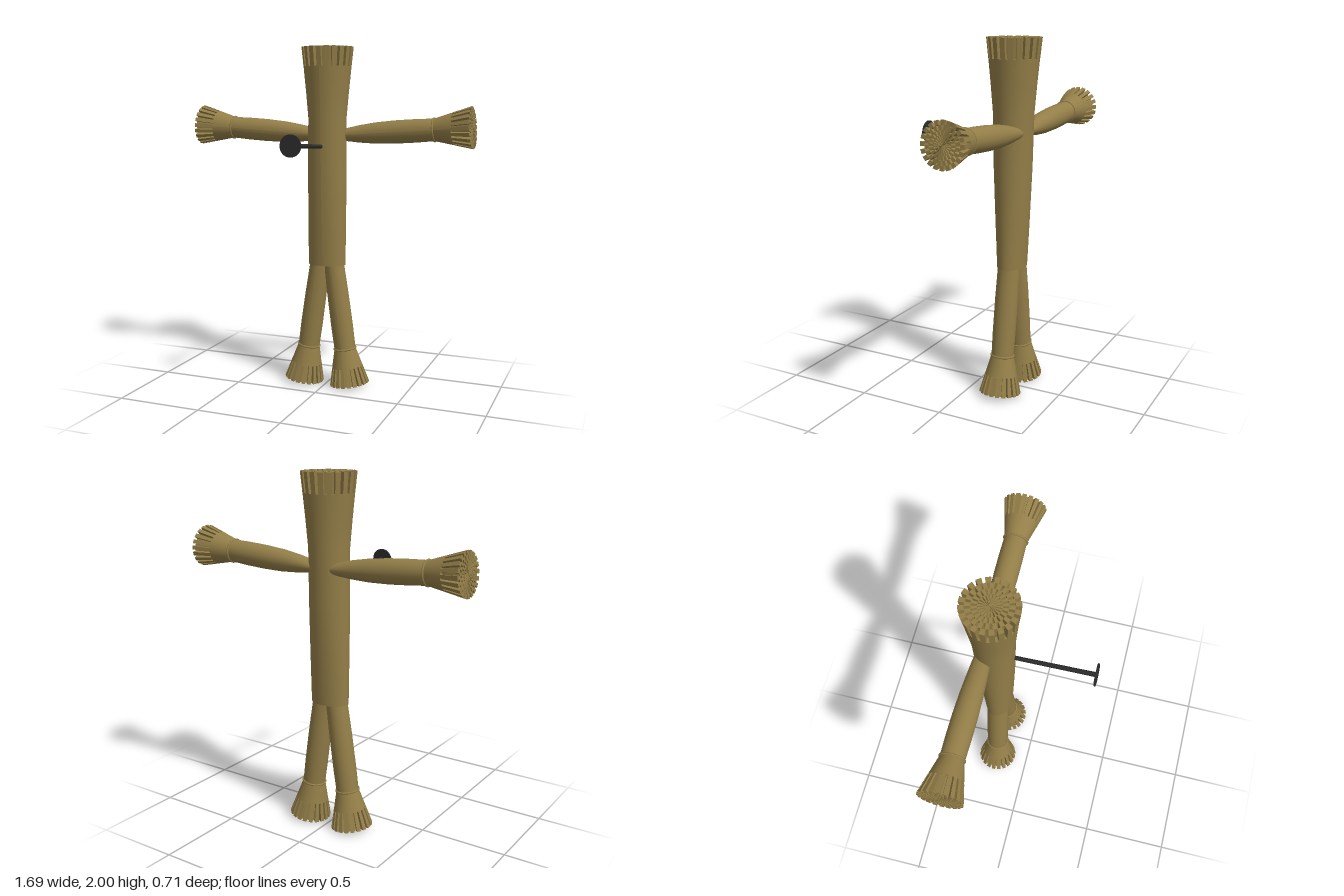
import * as THREE from 'three';
import { mergeGeometries } from 'three/addons/utils/BufferGeometryUtils.js';

const straw = new THREE.MeshStandardMaterial({ color: 0x937e48 });
const iron = new THREE.MeshStandardMaterial({ color: 0x2b2b2b });

function add(parent, name, geometry, material) {
  const mesh = new THREE.Mesh(geometry, material);
  mesh.name = name;
  parent.add(mesh);
  return mesh;
}

// Closed tube along +y through stations [y, radiusX, radiusZ]
function loft(stations) {
  const rows = stations.length - 1;
  const g = new THREE.CylinderGeometry(1, 1, 1, 36, rows);
  const p = g.attributes.position;
  for (let i = 0; i < p.count; i++) {
    const [y, rx, rz] = stations[Math.round((p.getY(i) + 0.5) * rows)];
    p.setXYZ(i, p.getX(i) * rx, y, p.getZ(i) * rz);
  }
  g.computeVertexNormals();
  return g;
}

// Staggered rings of cut straw ends flaring from radius r0 at y0 to r1 at y1
function tuft(y0, y1, r0, r1) {
  const rings = 5, count = 20, step = (Math.PI * 2) / count;
  const parts = [];
  for (let k = 0; k < rings; k++) {
    for (let j = 0; j < count; j++) {
      const g = new THREE.BoxGeometry(1, 1, 1);
      const p = g.attributes.position;
      for (let i = 0; i < p.count; i++) {
        const angle = (j + (k % 2) / 2 + p.getX(i) * 0.62) * step;
        const t = p.getY(i) + 0.5;
        const r = ((k + p.getZ(i) + 0.5) / rings) * (r0 + (r1 - r0) * t);
        p.setXYZ(i, Math.sin(angle) * r, y0 + (y1 - y0) * t, Math.cos(angle) * r);
      }
      g.computeVertexNormals();
      parts.push(g);
    }
  }
  return mergeGeometries(parts);
}

// Limb along local +y: shaft, binding, flared cuff and straw ends
function limb(name, endName, stations, length) {
  const group = new THREE.Group();
  group.name = name;
  const joint = length - 0.215, cut = length - 0.105;
  add(group, name + 'Shaft', loft([...stations, [joint, 0.063, 0.063]]), straw);
  const band = add(group, name + 'Binding', new THREE.TorusGeometry(0.064, 0.006, 8, 36), straw);
  band.rotation.x = Math.PI / 2;
  band.position.y = joint;
  add(group, endName + 'Cuff', loft([[joint, 0.063, 0.063], [joint + 0.05, 0.076, 0.076], [cut, 0.091, 0.091]]), straw);
  add(group, endName + 'Straws', tuft(cut, length, 0.0915, 0.118), straw);
  return group;
}

export function createModel() {
  const model = new THREE.Group();
  model.name = 'strawFigure';

  // Torso and head: one bundle, flattened at the hips and flared at the top
  const body = new THREE.Group();
  body.name = 'body';
  body.position.z = -0.195;
  add(body, 'torso', loft([
    [0.735, 0.113, 0.077], [1.0, 0.114, 0.091], [1.3, 0.114, 0.105],
    [1.6, 0.111, 0.113], [1.75, 0.124, 0.125], [1.89, 0.138, 0.138],
  ]), straw);
  add(body, 'headStraws', tuft(1.89, 2, 0.1385, 0.15), straw);
  model.add(body);

  for (const side of [1, -1]) {
    const label = side > 0 ? 'left' : 'right';

    // Arm tapers to a flat shoulder inside the torso
    const arm = limb(label + 'Arm', label + 'Hand', [
      [0.03, 0.024, 0.042], [0.1, 0.037, 0.049], [0.18, 0.05, 0.055],
      [0.28, 0.061, 0.061], [0.4, 0.066, 0.065], [0.52, 0.066, 0.065],
    ], 0.84);
    arm.position.set(0, 1.493, -0.24);
    arm.rotation.z = -side * (Math.PI / 2 - 0.066);
    model.add(arm);

    // Leg splays slightly outward
    const leg = limb(label + 'Leg', label + 'Foot', [
      [0, 0.058, 0.062], [0.2, 0.063, 0.065], [0.4, 0.065, 0.065],
    ], 0.743);
    leg.position.set(side * 0.042, 0.753, -0.195);
    leg.rotation.z = -side * (Math.PI - 0.14);
    model.add(leg);
  }

  // Nail driven into the chest
  const nail = new THREE.Group();
  nail.name = 'nail';
  nail.position.set(0, 1.43, -0.2);
  nail.rotation.x = Math.PI / 2 - 0.057;
  add(nail, 'nailShaft', new THREE.CylinderGeometry(0.013, 0.011, 0.55, 16), iron).position.y = 0.275;
  add(nail, 'nailHead', new THREE.CylinderGeometry(0.06, 0.06, 0.01, 32), iron).position.y = 0.548;
  model.add(nail);

  return model;
}
